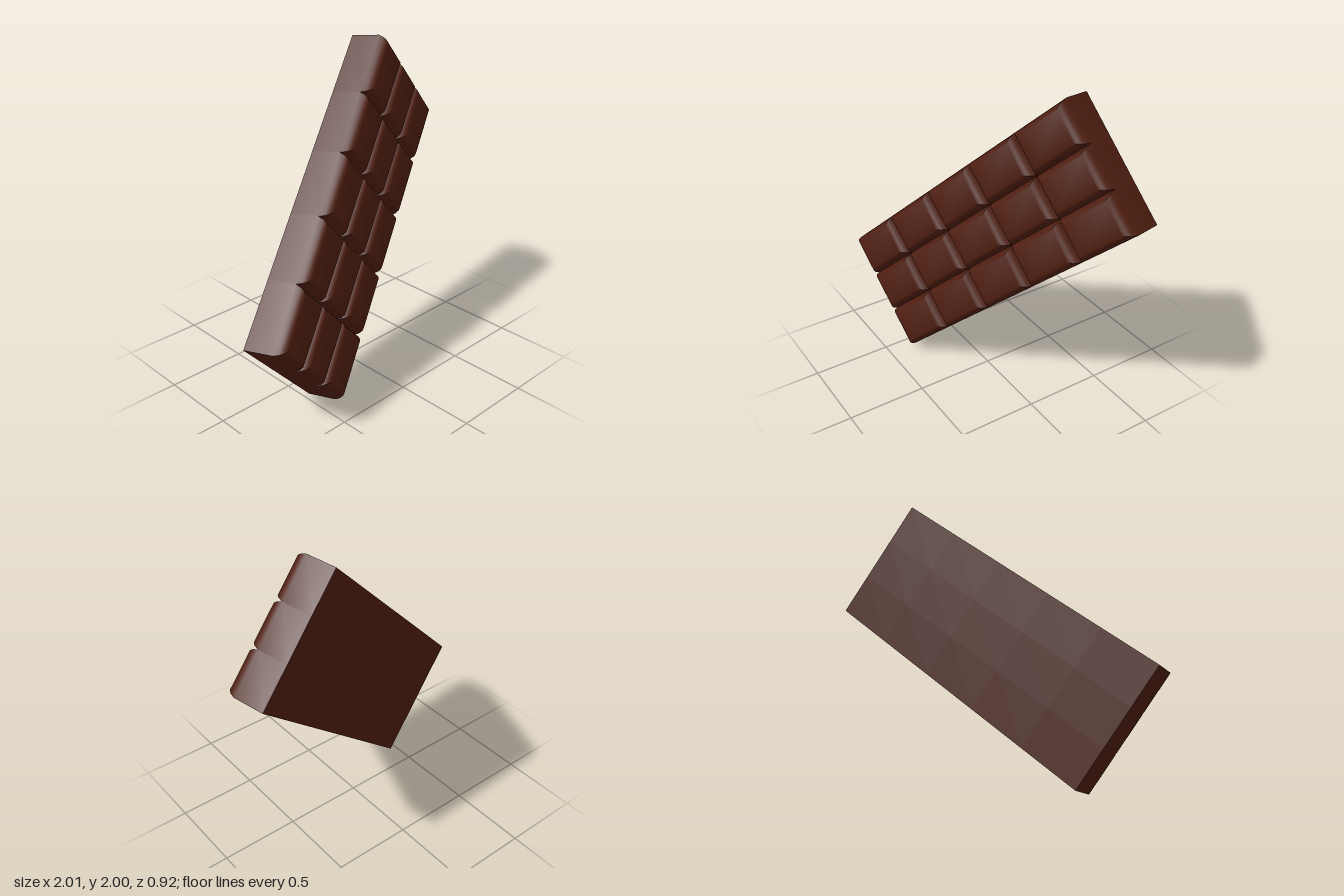
import * as THREE from 'three';
import { toCreasedNormals } from 'three/addons/utils/BufferGeometryUtils.js';

const COLS = 5, ROWS = 3;
const LENGTH = 2.065, WIDTH = 0.811;

// One block: upright walls, rounded bevel, flat top, closed bottom
function blockGeometry(w, d) {
  // inset along length, inset along width, height
  const profile = [
    [0, 0, 0], [0, 0, 0.185], [0.012, 0.009, 0.218],
    [0.028, 0.021, 0.24], [0.047, 0.035, 0.25],
  ];
  const positions = [], index = [];
  for (const [iu, iv, h] of profile) {
    const x = w / 2 - iu, y = d / 2 - iv;
    positions.push(-x, -y, h, x, -y, h, x, y, h, -x, y, h);
  }
  for (let r = 0; r < profile.length - 1; r++) {
    for (let i = 0; i < 4; i++) {
      const a = r * 4 + i, b = r * 4 + (i + 1) % 4;
      index.push(a, b, b + 4, a, b + 4, a + 4);
    }
  }
  const t = (profile.length - 1) * 4;
  index.push(t, t + 1, t + 2, t, t + 2, t + 3); // top
  index.push(0, 2, 1, 0, 3, 2); // bottom
  const geometry = new THREE.BufferGeometry();
  geometry.setAttribute('position', new THREE.Float32BufferAttribute(positions, 3));
  geometry.setIndex(index);
  return toCreasedNormals(geometry, 0.7);
}

export function createModel() {
  const model = new THREE.Group();
  model.name = 'chocolateBar';
  const chocolate = new THREE.MeshStandardMaterial({ color: 0x4f1e10 });

  const bar = new THREE.Group();
  bar.name = 'tiltedBar';
  const w = LENGTH / COLS, d = WIDTH / ROWS;
  const geometry = blockGeometry(w, d);

  // Grid of blocks
  for (let row = 0; row < ROWS; row++) {
    for (let col = 0; col < COLS; col++) {
      const block = new THREE.Mesh(geometry, chocolate);
      block.name = `block_${row + 1}_${col + 1}`;
      block.position.set((col - (COLS - 1) / 2) * w, (row - (ROWS - 1) / 2) * d, 0);
      bar.add(block);
    }
  }

  // Tilt: long axis, short axis and facing direction of the bar
  const along = new THREE.Vector3(0.683, 0.668, -0.295).normalize();
  const facing = new THREE.Vector3(0.292, 0.121, 0.949).normalize();
  const across = facing.clone().cross(along).normalize();
  facing.crossVectors(along, across);
  bar.quaternion.setFromRotationMatrix(new THREE.Matrix4().makeBasis(along, across, facing));
  bar.position.set(-0.027, 0.989, -0.11);

  model.add(bar);
  return model;
}
